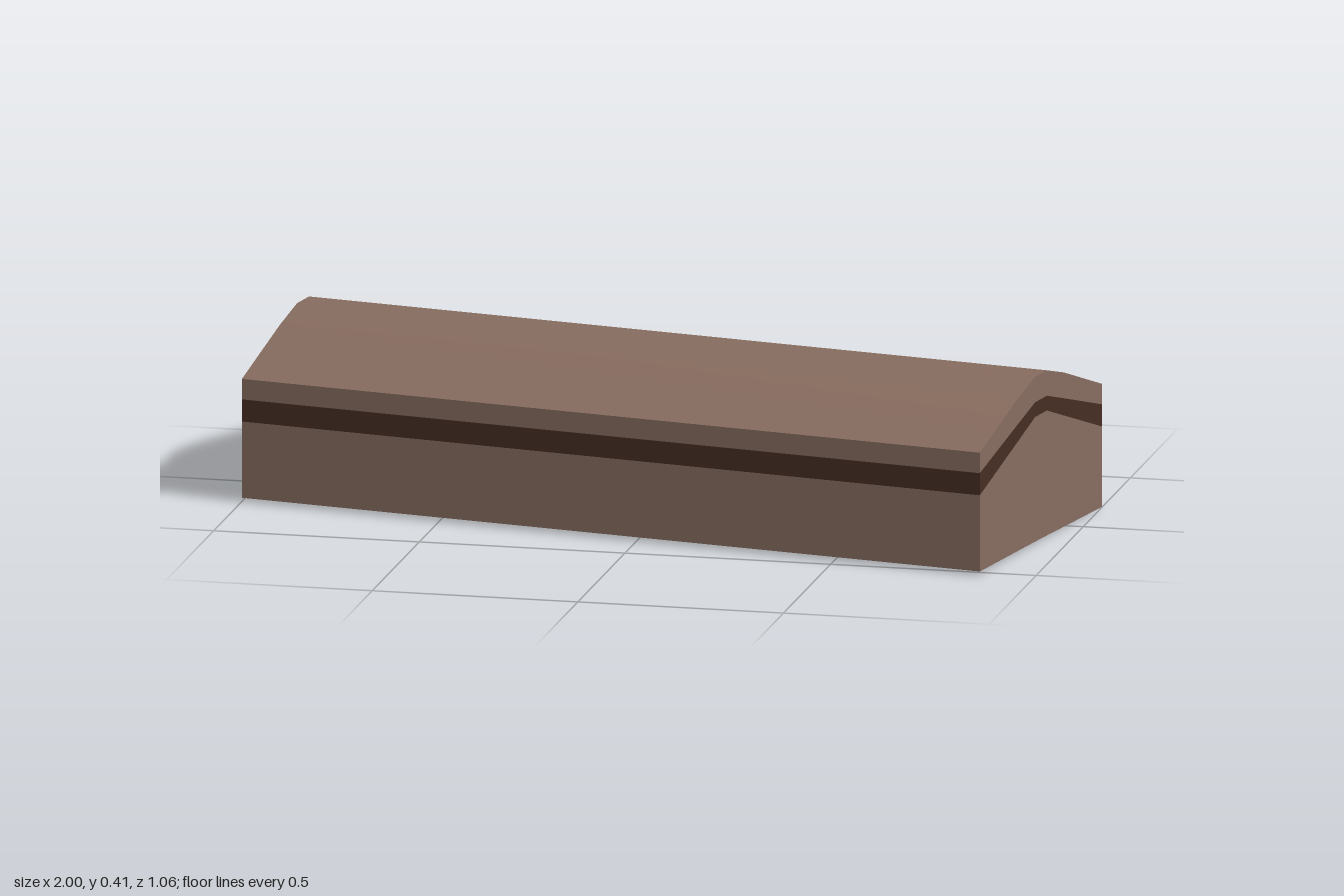
import * as THREE from 'three';

const LENGTH = 1.898;
// Cross-section stations from the front eave (+z) to the back eave
const STATIONS = [0.373, 0.141, 0.036, -0.036, -0.141, -0.373];
// Heights of each layer boundary at the stations
const ground = [0.01, 0.008, 0.007, 0.006, 0.004, 0];
const bandBottom = [0.196, 0.275, 0.311, 0.311, 0.275, 0.196];
const bandTop = [0.25, 0.317, 0.347, 0.347, 0.317, 0.25];
const roofLine = [0.3, 0.38, 0.409, 0.409, 0.38, 0.3];

// Points of one layer boundary at one end (side = 1 or -1)
function section(heights, side) {
  return STATIONS.map((z, i) => new THREE.Vector3(side * LENGTH / 2, heights[i], z));
}

// Closed outline of a layer boundary around the building
function ring(heights) {
  const loop = [...section(heights, 1), ...section(heights, -1).reverse()];
  return [...loop, loop[0]];
}

// Surface of quads between two rows of points
function strip(name, lower, upper, material, smooth) {
  const index = [];
  const n = lower.length;
  for (let i = 0; i < n - 1; i++) index.push(i, i + 1, n + i + 1, i, n + i + 1, n + i);
  let geometry = new THREE.BufferGeometry().setFromPoints([...lower, ...upper]);
  geometry.setIndex(index);
  if (!smooth) geometry = geometry.toNonIndexed();
  geometry.computeVertexNormals();
  const mesh = new THREE.Mesh(geometry, material);
  mesh.name = name;
  return mesh;
}

export function createModel() {
  const brown = new THREE.MeshStandardMaterial({ color: 0x876c5f });
  brown.name = 'warm brown';
  const dark = new THREE.MeshStandardMaterial({ color: 0x462e24 });
  dark.name = 'dark brown';

  const model = new THREE.Group();
  model.name = 'gabledBuilding';
  model.add(
    // Walls, dark band under the eaves, and roof edge
    strip('walls', ring(ground), ring(bandBottom), brown, false),
    strip('eavesBand', ring(bandBottom), ring(bandTop), dark, false),
    strip('roofEdge', ring(bandTop), ring(roofLine), brown, false),
    // Softly rounded roof and the underside
    strip('roof', section(roofLine, 1), section(roofLine, -1), brown, true),
    strip('underside', section(ground, -1), section(ground, 1), brown, false),
  );
  // The building stands at a slight turn
  model.rotation.y = -THREE.MathUtils.degToRad(9.95);
  return model;
}
